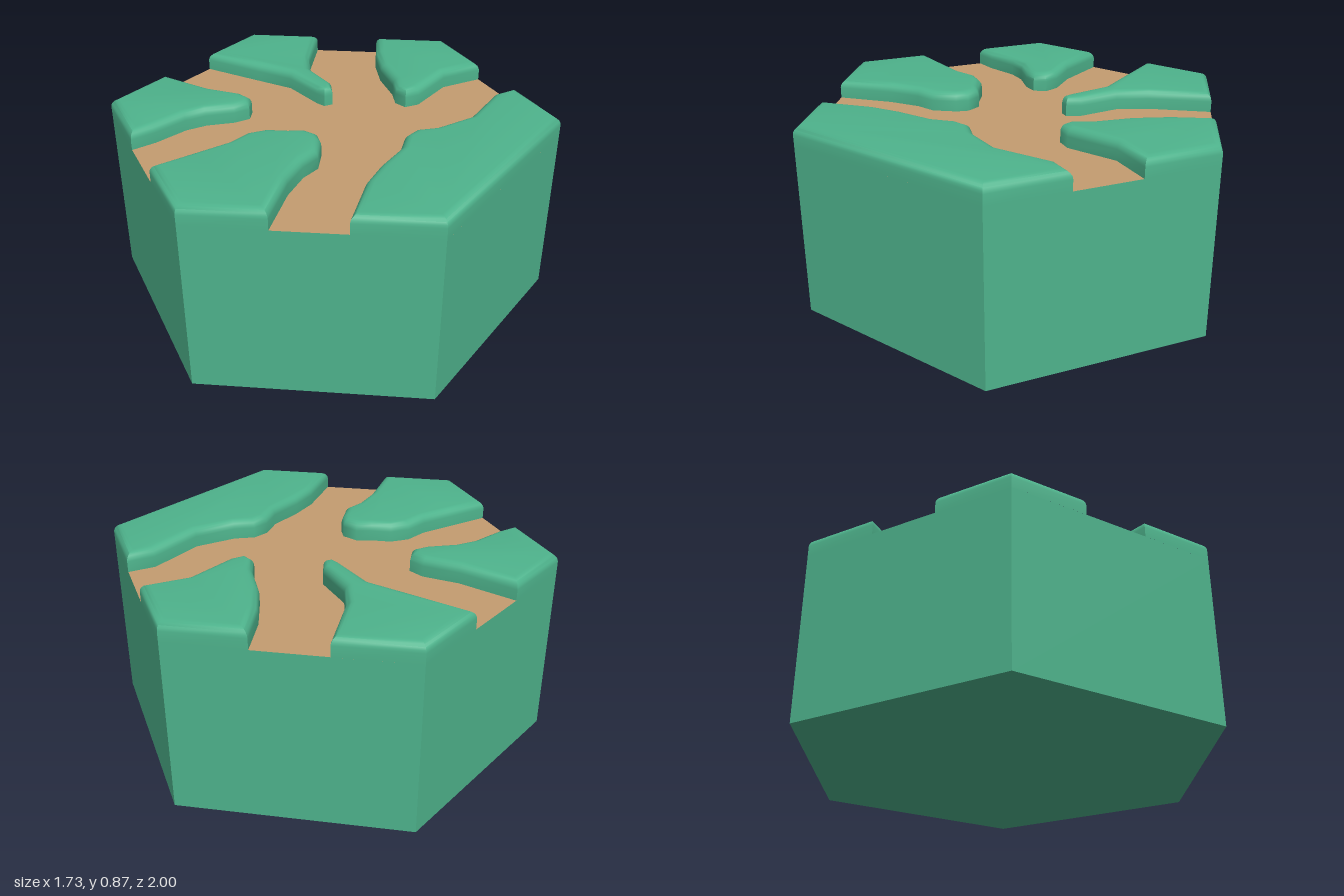
import * as THREE from 'three';
import { toCreasedNormals } from 'three/addons/utils/BufferGeometryUtils.js';

const FLOOR = 0.78, TOP = 0.866, BEVEL = 0.038, STEPS = 5;

// Outlines of the raised blocks as [x, z, optional smaller bevel]
const outlines = {
  backBlock: [[0, -1], [0.3, -0.827], [0.205, -0.645], [0.205, -0.41], [0.17, -0.35, 0.026], [0.11, -0.36, 0.026],
    [0.05, -0.43], [-0.085, -0.535], [-0.195, -0.66], [-0.3, -0.827]],
  backRightBlock: [[-0.866, -0.5], [-0.566, -0.673], [-0.434, -0.423], [-0.34, -0.31], [-0.165, -0.233, 0.028],
    [-0.122, -0.18, 0.022], [-0.143, -0.143, 0.022], [-0.19, -0.148, 0.028], [-0.39, -0.21], [-0.566, -0.19], [-0.866, -0.158]],
  frontRightBlock: [[-0.866, 0.152], [-0.6, 0.138], [-0.444, 0.095], [-0.37, 0.106], [-0.34, 0.16], [-0.37, 0.227],
    [-0.455, 0.323], [-0.497, 0.41], [-0.524, 0.57], [-0.56, 0.677], [-0.866, 0.5]],
  frontBlock: [[0, 1], [-0.3, 0.827], [-0.233, 0.64], [-0.18, 0.49], [-0.17, 0.38], [-0.122, 0.307], [-0.042, 0.26],
    [0.01, 0.217], [0.085, 0.217], [0.127, 0.254], [0.18, 0.35], [0.175, 0.444], [0.206, 0.587], [0.3, 0.827]],
  leftBlock: [[0.866, -0.5], [0.866, 0.5], [0.56, 0.677], [0.465, 0.43], [0.44, 0.29], [0.43, 0.12], [0.39, 0.02],
    [0.397, -0.058], [0.46, -0.127], [0.53, -0.3], [0.51, -0.566], [0.56, -0.677]],
};

// Block with upright walls and a rounded top rim
function roundedBlock(outline) {
  let pts = outline.map(([x, z, bevel = BEVEL]) => ({ p: new THREE.Vector2(x, -z), bevel }));
  if (THREE.ShapeUtils.area(pts.map(q => q.p)) < 0) pts.reverse();
  const n = pts.length;
  const inward = (a, b) => new THREE.Vector2(a.y - b.y, b.x - a.x).normalize();
  const miters = pts.map(({ p }, i) => {
    const n1 = inward(pts[(i + n - 1) % n].p, p), n2 = inward(p, pts[(i + 1) % n].p);
    return n1.clone().add(n2).divideScalar(1 + n1.dot(n2));
  });
  const ring = (t, y) => pts.map(({ p, bevel }, i) => ({ p: p.clone().addScaledVector(miters[i], bevel * t), y }));

  const rings = [ring(0, FLOOR)];
  for (let s = 0; s <= STEPS; s++) {
    const a = (s / STEPS) * Math.PI / 2;
    rings.push(ring(1 - Math.cos(a), TOP - BEVEL * (1 - Math.sin(a))));
  }
  const positions = rings.flat().flatMap(({ p, y }) => [p.x, y, -p.y]);
  const index = [];
  for (let j = 0; j < rings.length - 1; j++) {
    for (let i = 0; i < n; i++) {
      const a = j * n + i, b = j * n + (i + 1) % n;
      index.push(a, b, b + n, a, b + n, a + n);
    }
  }
  const last = rings.length - 1;
  for (const tri of THREE.ShapeUtils.triangulateShape(rings[last].map(q => q.p), [])) {
    index.push(...tri.map(k => last * n + k));
  }
  const geo = new THREE.BufferGeometry();
  geo.setAttribute('position', new THREE.Float32BufferAttribute(positions, 3));
  geo.setIndex(index);
  return toCreasedNormals(geo, 0.9);
}

export function createModel() {
  const group = new THREE.Group();
  const green = new THREE.MeshStandardMaterial({ color: 0x4eb38c });
  const flatGreen = new THREE.MeshStandardMaterial({ color: 0x4eb38c, flatShading: true });
  const sand = new THREE.MeshStandardMaterial({ color: 0xc49c70 });
  const add = (name, geometry, material) => {
    const mesh = new THREE.Mesh(geometry, material);
    mesh.name = name;
    group.add(mesh);
  };

  // Hexagonal base: walls, underside and path floor
  const hexagon = () => new THREE.CircleGeometry(1, 6, Math.PI / 2);
  add('baseWalls', new THREE.CylinderGeometry(1, 1, FLOOR, 6, 1, true).translate(0, FLOOR / 2, 0), flatGreen);
  add('underside', hexagon().rotateX(Math.PI / 2), green);
  add('pathFloor', hexagon().rotateX(-Math.PI / 2).translate(0, FLOOR, 0), sand);

  // Raised ground between the paths
  for (const [name, outline] of Object.entries(outlines)) add(name, roundedBlock(outline), green);
  return group;
}
